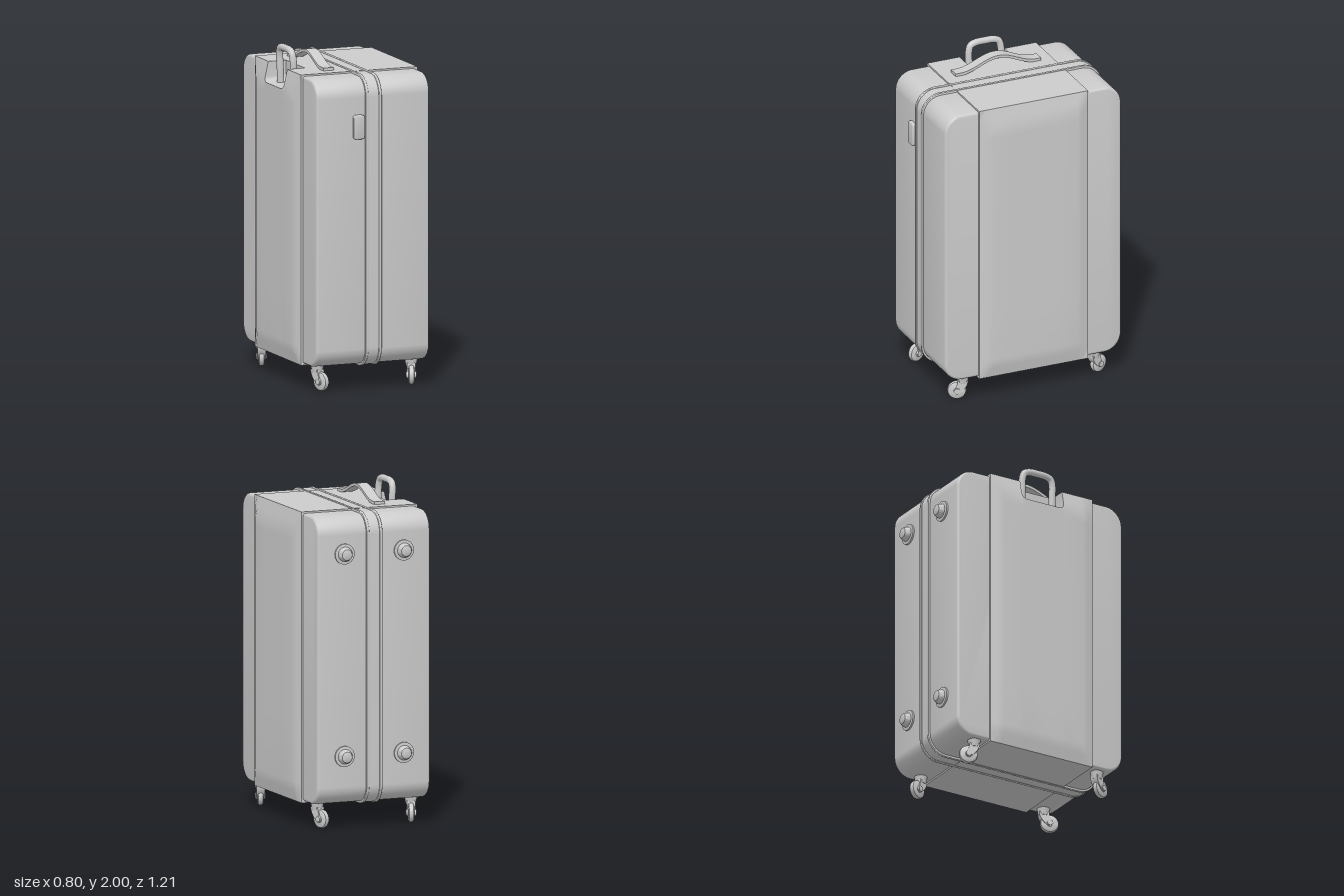
import * as THREE from 'three';
import { toCreasedNormals } from 'three/addons/utils/BufferGeometryUtils.js';

const mat = new THREE.MeshStandardMaterial({ color: 0xcccccc });
const matDouble = new THREE.MeshStandardMaterial({ color: 0xcccccc, side: THREE.DoubleSide });

// Side panel extents and the handle pocket cut into its top
const Z0 = -0.34, Z1 = 0.365, Y0 = 0.14, Y1 = 1.88;
const POCKET = { z0: -0.135, z1: 0.155, floor: 1.76, x: -0.26, c: 0.04 };

function add(parent, name, geometry, x = 0, y = 0, z = 0, material = mat) {
  const mesh = new THREE.Mesh(geometry, material);
  mesh.name = name;
  mesh.position.set(x, y, z);
  parent.add(mesh);
  return mesh;
}

// Outline in the z-y plane (shape x = -z), with rounded corners and an optional notch in the top
function outline(z0, z1, y0, y1, r, notch = null) {
  const a = -z1, b = -z0, s = new THREE.Shape();
  s.moveTo(a + r, y0);
  s.lineTo(b - r, y0);
  if (r) s.absarc(b - r, y0 + r, r, -Math.PI / 2, 0);
  s.lineTo(b, y1 - r);
  if (r) s.absarc(b - r, y1 - r, r, 0, Math.PI / 2);
  if (notch) {
    const { c, floor, grow = 0 } = notch;
    const n0 = -notch.z1 - grow, n1 = -notch.z0 + grow, f = floor - grow;
    s.lineTo(n1, y1);
    s.lineTo(n1, f + c);
    s.quadraticCurveTo(n1, f, n1 - c, f);
    s.lineTo(n0 + c, f);
    s.quadraticCurveTo(n0, f, n0, f + c);
    s.lineTo(n0, y1);
  }
  s.lineTo(a + r, y1);
  if (r) s.absarc(a + r, y1 - r, r, Math.PI / 2, Math.PI);
  s.lineTo(a, y0 + r);
  if (r) s.absarc(a + r, y0 + r, r, Math.PI, Math.PI * 1.5);
  return s;
}

// Extrudes an outline along x, with a small rounded rim
function slab(shape, x0, x1, bevel = 0) {
  const g = new THREE.ExtrudeGeometry(shape, {
    depth: x1 - x0 - 2 * bevel, curveSegments: 10, bevelEnabled: bevel > 0,
    bevelThickness: bevel, bevelSize: bevel, bevelOffset: -bevel, bevelSegments: 3,
  });
  g.rotateY(Math.PI / 2).translate(x0 + bevel, 0, 0);
  return toCreasedNormals(g, 0.6);
}

// Half width of the bulging side panel
function bulge(y, z) {
  const dz = Math.min(z - Z0, Z1 - z) / 0.08, dy = Math.min(y - Y0, Y1 - y) / 0.12;
  return 0.372 + 0.027 * Math.max(0, Math.min(1, dz, dy));
}

// Bulging outer skin of the panel; columns under the pocket stop at its floor
function panelSkin(side, notched) {
  const { z0, z1, floor, c } = POCKET;
  const cols = [[Z0, Y1], [Z0 + 0.04, Y1], [Z0 + 0.08, Y1], [z0, Y1]];
  if (notched) {
    for (const t of [0, 0.25, 0.5, 0.75, 1]) cols.push([z0 + c * t * t, floor + c * (1 - t) ** 2]);
    for (const t of [1, 0.75, 0.5, 0.25, 0]) cols.push([z1 - c * t * t, floor + c * (1 - t) ** 2]);
  }
  cols.push([z1, Y1], [Z1 - 0.08, Y1], [Z1 - 0.04, Y1], [Z1, Y1]);
  const rows = [Y0, Y0 + 0.06, Y0 + 0.12, 0.6, 1, 1.4, 1.7, Y1 - 0.12, Y1 - 0.06, Y1];
  const pos = [], index = [], n = rows.length;
  cols.forEach(([z, top], i) => rows.forEach((row, j) => {
    const y = Math.min(row, top);
    pos.push(side * bulge(y, z), y, z);
    if (i && j) {
      const d = i * n + j, b = d - 1, cc = d - n, a = cc - 1;
      if (side > 0) index.push(a, cc, b, b, cc, d);
      else index.push(a, b, cc, b, d, cc);
    }
  }));
  const g = new THREE.BufferGeometry();
  g.setAttribute('position', new THREE.Float32BufferAttribute(pos, 3));
  g.setIndex(index);
  g.computeVertexNormals();
  return g;
}

// Swivel caster: stem, fork arms, wheel and hub
function caster(x, z, turn) {
  const g = new THREE.Group();
  g.name = 'caster';
  add(g, 'casterStem', new THREE.CylinderGeometry(0.042, 0.03, 0.06, 24), 0, 0.135, 0);
  const fork = new THREE.Shape();
  fork.moveTo(-0.03, 0.125);
  fork.lineTo(0.03, 0.125);
  fork.quadraticCurveTo(0.035, 0.08, 0.052, 0.062);
  fork.absarc(0.035, 0.055, 0.02, 0.4, -Math.PI * 0.8, true);
  fork.quadraticCurveTo(-0.03, 0.08, -0.03, 0.125);
  const forkGeo = new THREE.ExtrudeGeometry(fork, { depth: 0.05, bevelEnabled: false, curveSegments: 8 });
  forkGeo.translate(0, 0, -0.025).rotateY(-Math.PI / 2);
  add(g, 'casterFork', toCreasedNormals(forkGeo, 0.6));
  const profile = [[0, -0.018], [0.044, -0.018], [0.053, -0.013], [0.057, 0], [0.053, 0.013], [0.044, 0.018], [0, 0.018]]
    .map(([r, h]) => new THREE.Vector2(r, h));
  const wheel = toCreasedNormals(new THREE.LatheGeometry(profile, 28), 0.7).rotateZ(Math.PI / 2);
  add(g, 'casterWheel', wheel, 0, 0.057, 0.035);
  const hub = new THREE.CylinderGeometry(0.018, 0.018, 0.062, 16).rotateZ(Math.PI / 2);
  add(g, 'casterHub', hub, 0, 0.057, 0.035);
  g.position.set(x, 0, z);
  g.rotation.y = turn;
  return g;
}

export function createModel() {
  const group = new THREE.Group();

  // Two hard shells meeting at the middle; the right one makes room for the pocket
  add(group, 'leftShell', slab(outline(-0.56, 0.58, 0.15, 1.87, 0.11), 0, 0.36, 0.015));
  add(group, 'rightShell', slab(outline(-0.56, 0.58, 0.15, 1.87, 0.11, { ...POCKET, grow: 0.02 }), -0.36, 0, 0.015));

  // Raised rims either side of the zip, with the zip band between
  for (const s of [-1, 1])
    add(group, 'zipRim', slab(outline(-0.572, 0.592, 0.136, 1.884, 0.125), s * 0.042 - 0.009, s * 0.042 + 0.009, 0.004));
  add(group, 'zipBand', slab(outline(-0.566, 0.586, 0.142, 1.878, 0.12), -0.036, 0.036));

  // Wide panel wrapped around the middle, with bulging side skins
  add(group, 'panelBody', slab(outline(Z0, Z1, Y0, Y1, 0), POCKET.x, 0.372));
  const pocketSlab = slab(outline(Z0, Z1, Y0, Y1, 0, POCKET), -0.372, POCKET.x);
  const p = pocketSlab.attributes.position;
  for (let i = 0; i < p.count; i++)
    if (p.getX(i) < -0.37) p.setX(i, -bulge(p.getY(i), p.getZ(i)));
  add(group, 'panelPocketSide', toCreasedNormals(pocketSlab, 0.6));
  add(group, 'leftPanelSkin', panelSkin(1, false), 0, 0, 0, matDouble);
  add(group, 'rightPanelSkin', panelSkin(-1, true), 0, 0, 0, matDouble);

  // Pull handle rising out of the pocket
  const loop = new THREE.CatmullRomCurve3([
    [-0.312, 1.74, 0.12], [-0.316, 1.85, 0.12], [-0.32, 1.93, 0.119], [-0.323, 1.965, 0.107], [-0.324, 1.979, 0.075],
    [-0.325, 1.981, 0.016],
    [-0.324, 1.979, -0.043], [-0.323, 1.965, -0.075], [-0.32, 1.93, -0.087], [-0.316, 1.85, -0.088], [-0.312, 1.74, -0.088],
  ].map((v) => new THREE.Vector3(...v)));
  add(group, 'pullHandle', new THREE.TubeGeometry(loop, 72, 0.021, 14));

  // Arched carrying strap
  const topLine = [], n = 36;
  for (let i = 0; i <= n; i++) {
    const t = (i / n) * 2 - 1, u = Math.min(1, Math.abs(t) / 0.88);
    topLine.push([-0.0125 + t * 0.277, 1.897 + 0.034 * (1 + Math.cos(Math.PI * u))]);
  }
  const strap = new THREE.Shape([
    ...topLine.map(([u, y]) => new THREE.Vector2(u, y - 0.018)),
    ...topLine.reverse().map(([u, y]) => new THREE.Vector2(u, y)),
  ]);
  add(group, 'carryStrap', slab(strap, -0.198, -0.13));

  // Latch on the front
  const latch = new THREE.Shape();
  const w = 0.035, h = 0.073, r = 0.018;
  latch.absarc(w - r, h - r, r, 0, Math.PI / 2);
  latch.absarc(-w + r, h - r, r, Math.PI / 2, Math.PI);
  latch.absarc(-w + r, -h + r, r, Math.PI, Math.PI * 1.5);
  latch.absarc(w - r, -h + r, r, Math.PI * 1.5, Math.PI * 2);
  const latchGeo = new THREE.ExtrudeGeometry(latch, {
    depth: 0.02, bevelThickness: 0.008, bevelSize: 0.008, bevelOffset: -0.008, bevelSegments: 3,
  });
  add(group, 'frontLatch', toCreasedNormals(latchGeo, 0.6), -0.095, 1.585, 0.573);

  // Standing feet on the back
  const footProfile = [[0.062, 0], [0.062, 0.012], [0.044, 0.014], [0.04, 0.032], [0.032, 0.047], [0.026, 0.05], [0, 0.05]]
    .map(([a, b]) => new THREE.Vector2(a, b));
  const footGeo = toCreasedNormals(new THREE.LatheGeometry(footProfile, 32), 0.5).rotateX(-Math.PI / 2);
  for (const x of [-0.19, 0.19])
    for (const y of [0.44, 1.65]) add(group, 'backFoot', footGeo, x, y, -0.558);

  // Four swivel casters
  for (const s of [-1, 1]) {
    group.add(caster(s * 0.3, 0.44, -s * 0.35));
    group.add(caster(s * 0.3, -0.41, Math.PI + s * 0.35));
  }
  return group;
}
